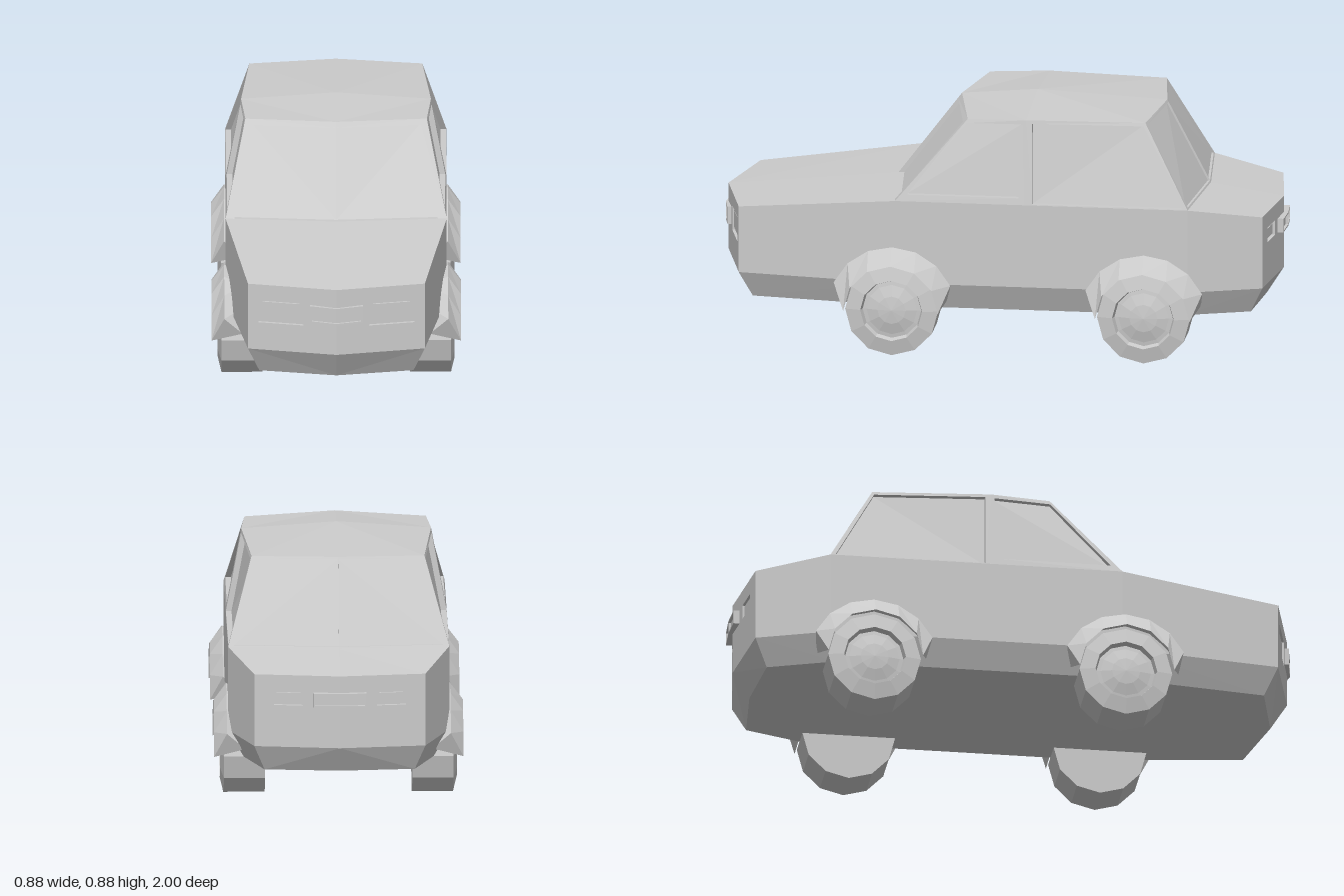
import * as THREE from 'three';

const material = new THREE.MeshStandardMaterial({ color: 0xcccccc, flatShading: true });

// Mesh from faces of the left (+x) half, mirrored to the right half
function mirrored(name, faces) {
  const pos = [];
  for (const f of faces) {
    for (let i = 1; i < f.length - 1; i++) {
      for (const p of [f[0], f[i], f[i + 1]]) pos.push(p[0], p[1], p[2]);
      for (const p of [f[0], f[i + 1], f[i]]) pos.push(-p[0], p[1], p[2]);
    }
  }
  const geometry = new THREE.BufferGeometry();
  geometry.setAttribute('position', new THREE.Float32BufferAttribute(pos, 3));
  geometry.computeVertexNormals();
  const mesh = new THREE.Mesh(geometry, material);
  mesh.name = name;
  return mesh;
}

const shift = (p, d) => p.map((v, i) => v + d[i]);

// Wall quads joining the edges of two matching outlines
const walls = (from, to) => from.map((p, i) => {
  const j = (i + 1) % from.length;
  return [p, from[j], to[j], to[i]];
});

// Quad with a rectangular opening; its pane is moved by vector d
function inset([a, b, c, d], u0, u1, v0, v1, move) {
  const at = (u, v) => a.map((_, i) =>
    (1 - v) * ((1 - u) * a[i] + u * b[i]) + v * ((1 - u) * d[i] + u * c[i]));
  const hole = [at(u0, v0), at(u1, v0), at(u1, v1), at(u0, v1)];
  const pane = hole.map(p => shift(p, move));
  return { frame: [...walls([a, b, c, d], hole), ...walls(hole, pane)], pane };
}

// Bent bar standing proud of the body, with a framed face
function proudBar(name, face, depth, u0, u1) {
  const back = face.map(p => shift(p, [0, 0, -depth]));
  const { frame, pane } = inset(face, u0, u1, 0.12, 0.88, [0, 0, -Math.sign(depth) * 0.01]);
  return mirrored(name, [...walls(back, face), ...frame, pane]);
}

// Flared wheel arch: triangular section swept over the wheel
function wheelArch(name, z) {
  const rings = [];
  const steps = 6;
  for (let i = 0; i <= steps; i++) {
    rings.push([[0.44, 0.168, 0], [0.395, 0.227, 24], [0.33, 0.2, 10]].map(([x, r, start]) => {
      const t = THREE.MathUtils.degToRad(start + (180 - 2 * start) * i / steps);
      return [x, 0.165 + r * Math.sin(t), z + r * Math.cos(t)];
    }));
  }
  const faces = [rings[0], [...rings[steps]].reverse()];
  for (let i = 0; i < steps; i++) {
    for (let k = 0; k < 3; k++) {
      const n = (k + 1) % 3;
      faces.push([rings[i][k], rings[i + 1][k], rings[i + 1][n], rings[i][n]]);
    }
  }
  return mirrored(name, faces);
}

// Twelve-sided wheel with a sunken rim and a domed hub
function wheel(name, side, z) {
  const profile = [[0, 0.26], [0.165, 0.26], [0.165, 0.405], [0.11, 0.418],
    [0.104, 0.395], [0.09, 0.397], [0.05, 0.408], [0, 0.413]];
  const geometry = new THREE.LatheGeometry(profile.map(p => new THREE.Vector2(...p)), 12);
  geometry.rotateZ(-side * Math.PI / 2);
  const mesh = new THREE.Mesh(geometry, material);
  mesh.name = name;
  mesh.position.set(0, 0.165, z);
  return mesh;
}

export function createModel() {
  const car = new THREE.Group();
  car.name = 'car';

  // Half outlines from nose centre round the left side to tail centre
  const belt = [[0, 0.5, 0.99], [0.312, 0.5, 0.915], [0.39, 0.56, 0.35],
    [0.39, 0.56, -0.69], [0.302, 0.52, -0.945], [0, 0.52, -0.985]];
  const waist = belt.map(([x, , z]) => [x, 0.26, z]);
  const sill = [[0, 0.93], [0.272, 0.87], [0.345, 0.33], [0.345, -0.67], [0.265, -0.9], [0, -0.925]]
    .map(([x, z]) => [x, 0.165, z]);
  const cowl = [0, 0.56, 0.385];
  const deck = [0, 0.56, -0.725];

  // Lower body: nose and tail carry the lamp openings
  const body = [[belt[0], belt[1], belt[2], cowl], [deck, belt[3], belt[4], belt[5]]];
  const lampPanes = {};
  for (let k = 0; k < 5; k++) {
    body.push([sill[k], sill[k + 1], waist[k + 1], waist[k]]);
    body.push([[0, 0.165, 0], sill[k + 1], sill[k]]);
    const side = [waist[k], waist[k + 1], belt[k + 1], belt[k]];
    if (k === 0 || k === 4) {
      const lamp = k === 0
        ? inset(side, 0.37, 0.88, 0.417, 0.79, [0, 0, -0.014])
        : inset(side, 0.23, 0.57, 0.58, 0.78, [0, 0, 0.014]);
      body.push(...lamp.frame);
      lampPanes[k === 0 ? 'headlights' : 'tailLights'] = lamp.pane;
    } else body.push(side);
  }
  car.add(mirrored('body', body));

  // Lamps: raised lens inside each opening
  for (const [name, pane] of Object.entries(lampPanes)) {
    const out = name === 'headlights' ? 0.009 : -0.009;
    const lens = inset(pane, 0.09, 0.91, 0.15, 0.85, [0, 0, out]);
    car.add(mirrored(name, [...lens.frame, lens.pane]));
  }

  // Grille and rear plate
  car.add(proudBar('grille', [[0, 0.37, 1], [0.093, 0.375, 0.983],
    [0.093, 0.438, 0.983], [0, 0.433, 1]], 0.04, 0, 0.93));
  car.add(proudBar('rearPlate', [[0.093, 0.41, -0.995], [0, 0.41, -1],
    [0, 0.46, -1], [0.093, 0.46, -0.995]], -0.04, 0.05, 1));

  // Roof edge and crown stations
  const front = [0.32, 0.85, 0.1], frontMid = [0, 0.857, 0.16];
  const pillar = [0.335, 0.856, -0.11], crown = [0, 0.88, -0.11];
  const rear = [0.305, 0.852, -0.53], rearMid = [0, 0.857, -0.57];
  const pillarFoot = [0.39, 0.56, -0.11];
  car.add(mirrored('roof', [[frontMid, front, pillar, crown], [crown, pillar, rear, rearMid]]));

  // Cabin frames with recessed glass
  const windows = {
    windshield: inset([cowl, belt[2], front, frontMid], 0, 0.92, 0, 0.94, [0, 0, -0.02]),
    frontSideWindows: inset([belt[2], pillarFoot, pillar, front], 0.05, 0.95, 0.08, 0.95, [-0.02, 0, 0]),
    rearSideWindows: inset([pillarFoot, belt[3], rear, pillar], 0.05, 0.97, 0.01, 0.96, [-0.02, 0, 0]),
    rearWindow: inset([belt[3], deck, rearMid, rear], 0.05, 1, 0.02, 0.97, [0, 0, 0.008]),
  };
  for (const [name, { frame, pane }] of Object.entries(windows)) {
    car.add(mirrored(name + 'Frame', frame), mirrored(name, [pane]));
  }

  // Wheels and arches
  for (const [axle, z] of [['front', 0.36], ['rear', -0.535]]) {
    car.add(wheelArch(axle + 'WheelArches', z));
    car.add(wheel(axle + 'LeftWheel', 1, z), wheel(axle + 'RightWheel', -1, z));
  }
  return car;
}
